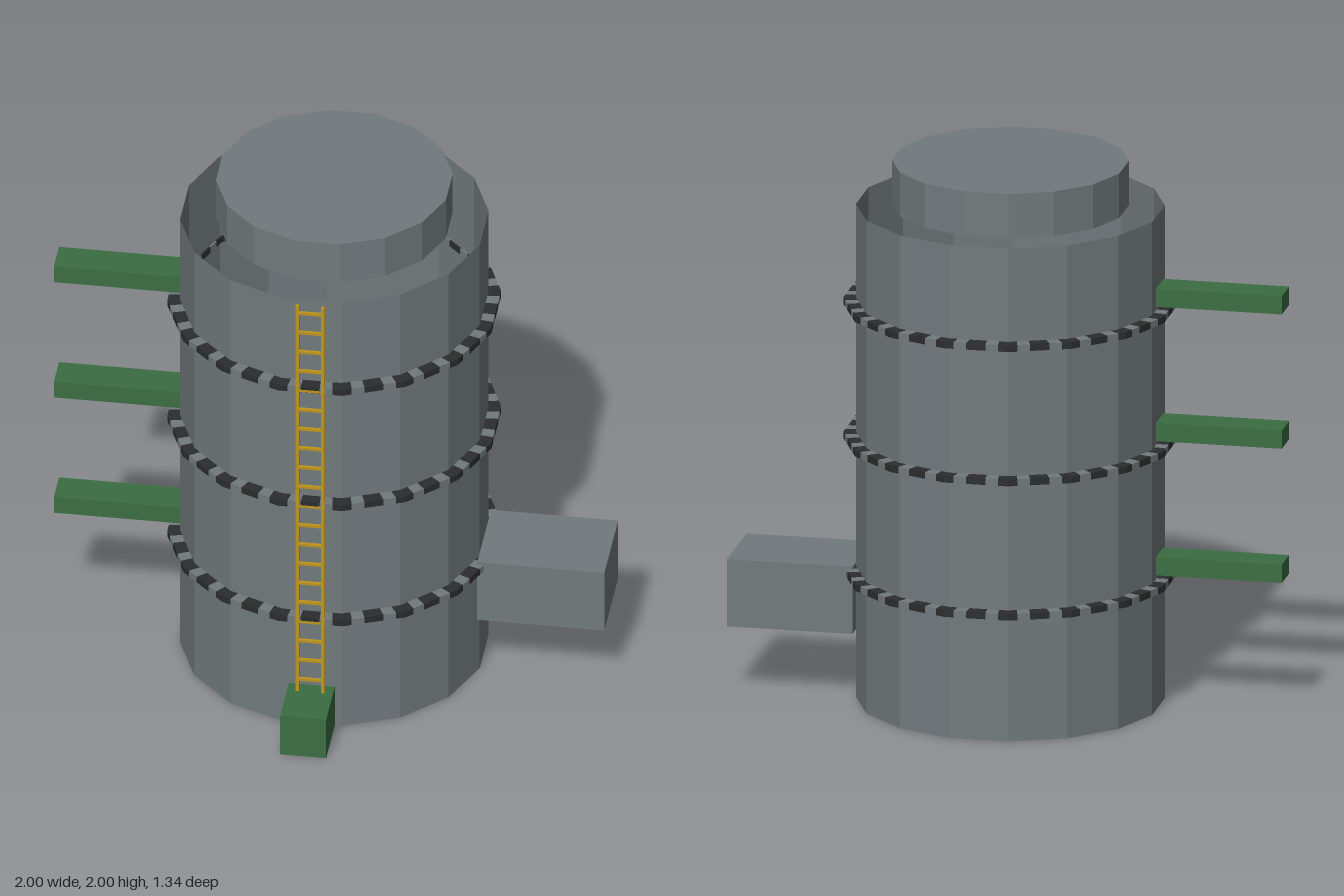
import * as THREE from 'three';
import { mergeGeometries } from 'three/addons/utils/BufferGeometryUtils.js';

const SIDES = 16;
const HALF = Math.PI / SIDES;
const AXIS_Z = -0.085;

const mat = (name, color, extra = {}) =>
  new THREE.MeshStandardMaterial({ name, color, flatShading: true, ...extra });

export function createModel() {
  const steel = mat('steelGrey', 0x727a7d, { side: THREE.DoubleSide });
  const dark = mat('darkBand', 0x2b2c2d);
  const green = mat('pipeGreen', 0x3b6e42);
  const yellow = mat('ladderYellow', 0xc0961c);

  const model = new THREE.Group();
  model.name = 'storageTank';

  const add = (name, geometry, material, parent = model) => {
    const mesh = new THREE.Mesh(geometry, material);
    mesh.name = name;
    parent.add(mesh);
    return mesh;
  };

  // Box given by its lower and upper limits on each axis
  const box = (name, [x0, x1], [y0, y1], [z0, z1], material, parent) => {
    const mesh = add(name, new THREE.BoxGeometry(x1 - x0, y1 - y0, z1 - z0), material, parent);
    mesh.position.set((x0 + x1) / 2, (y0 + y1) / 2, (z0 + z1) / 2);
    return mesh;
  };

  // Sixteen-sided drum with a flat side facing front
  const drum = (name, apothem, y0, y1, open) => {
    const r = apothem / Math.cos(HALF);
    const g = new THREE.CylinderGeometry(r, r, y1 - y0, SIDES, 1, open);
    g.rotateY(HALF);
    add(name, g, steel).position.set(0, (y0 + y1) / 2, AXIS_Z);
  };
  drum('tankShell', 0.541, 0, 1.835, true);
  drum('lid', 0.415, 1.835, 2, false);

  // Striped hoop: each flat side is cut into alternating pieces
  const inner = 0.535, outer = 0.585, height = 0.025;
  const cuts = [-1, -0.7, -0.3, 0.3, 0.7, 1];
  const pieces = [[], []];
  for (let s = 0; s < SIDES; s++) {
    for (let i = 0; i < cuts.length - 1; i++) {
      const [a, b] = [cuts[i], cuts[i + 1]];
      const point = (t, r) => new THREE.Vector2(t * r * Math.tan(HALF), r);
      const shape = new THREE.Shape([point(a, inner), point(b, inner), point(b, outer), point(a, outer)]);
      const g = new THREE.ExtrudeGeometry(shape, { depth: height, bevelEnabled: false });
      g.rotateX(-Math.PI / 2).rotateY(s * 2 * HALF);
      pieces[i % 2].push(g);
    }
  }
  const [darkStripes, lightStripes] = pieces.map((p) => mergeGeometries(p));
  for (const y of [0.475, 0.975, 1.475]) {
    const hoop = new THREE.Group();
    hoop.name = 'hoop';
    hoop.position.set(0, y - height / 2, AXIS_Z);
    add('hoopDarkStripes', darkStripes, dark, hoop);
    add('hoopLightStripes', lightStripes, steel, hoop);
    model.add(hoop);
  }

  // Outlet pipes on the right, side duct on the left, base block in front
  for (const y of [0.5, 1, 1.5]) {
    box('outletPipe', [-1, -0.541], [y, y + 0.068], [-0.125, 0], green);
  }
  box('sideDuct', [0.541, 1], [0.25, 0.5], [-0.25, 0.083], steel);
  box('baseBlock', [-0.083, 0.083], [0, 0.167], [0.456, 0.665], green);

  // Ladder
  const ladder = new THREE.Group();
  ladder.name = 'ladder';
  model.add(ladder);
  for (const x of [-0.046, 0.046]) {
    box('ladderRail', [x - 0.006, x + 0.006], [0.167, 1.835], [0.488, 0.503], yellow, ladder);
  }
  for (let i = 0; i < 20; i++) {
    const y = 1.803 - i * 0.0835;
    box('ladderRung', [-0.04, 0.04], [y - 0.005, y + 0.005], [0.49, 0.501], yellow, ladder);
  }

  return model;
}
